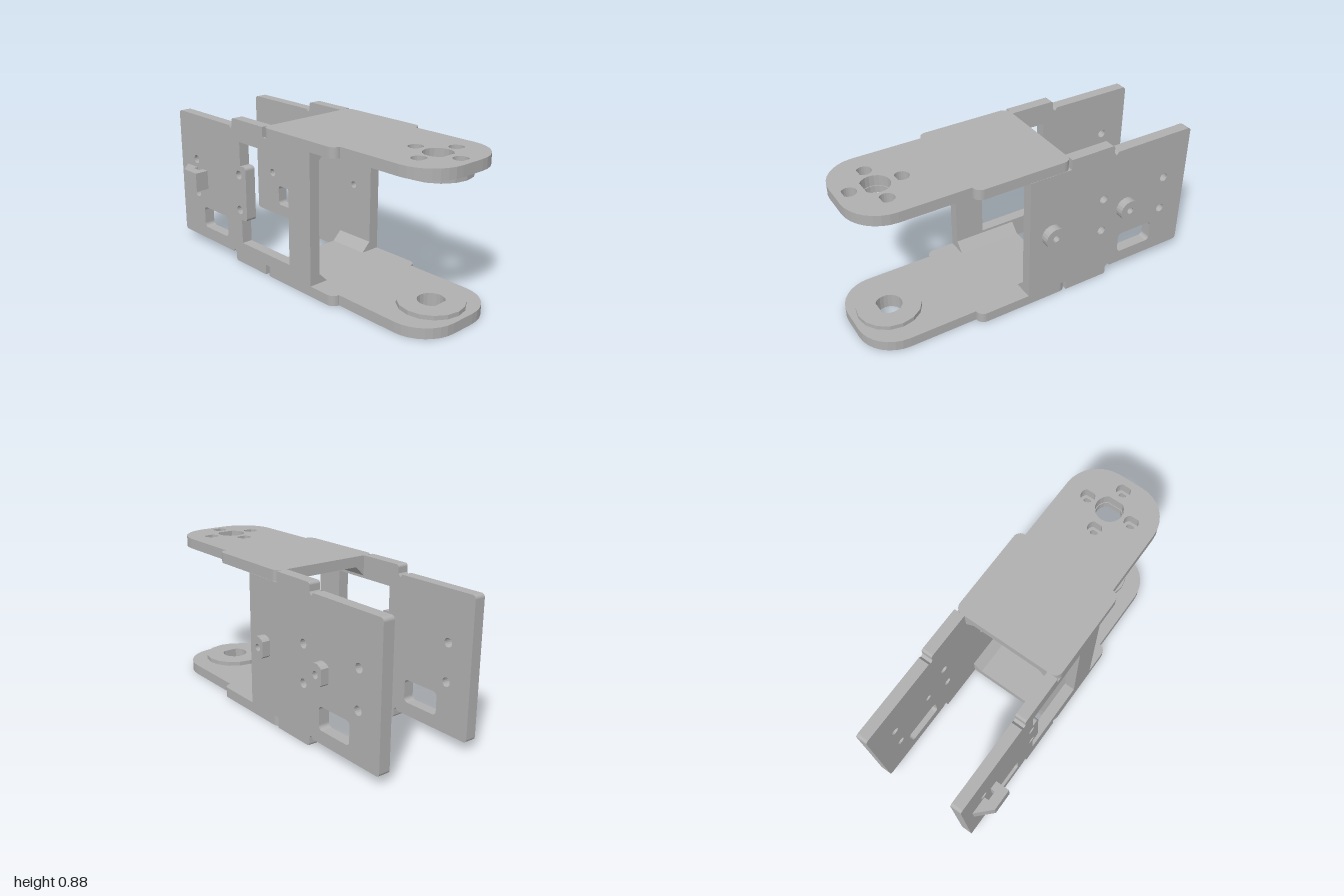
import * as THREE from 'three';

const grey = new THREE.MeshStandardMaterial({ color: 0xb0b0b0 });
grey.name = 'grey plastic';

// Closed outline from [x, y, cornerRadius] points
function outline(points, Type = THREE.Shape) {
  const path = new Type();
  const n = points.length;
  const toward = (a, b, d) => {
    const l = Math.hypot(b[0] - a[0], b[1] - a[1]);
    return [a[0] + (b[0] - a[0]) * d / l, a[1] + (b[1] - a[1]) * d / l];
  };
  points.forEach((p, i) => {
    const r = p[2] || 0;
    const prev = points[(i + n - 1) % n], next = points[(i + 1) % n];
    const a = toward(p, prev, r), b = toward(p, next, r);
    if (i === 0) path.moveTo(...a); else path.lineTo(...a);
    if (r) path.bezierCurveTo(...toward(p, prev, r * 0.448), ...toward(p, next, r * 0.448), ...b);
  });
  path.closePath();
  return path;
}

const rect = (x0, y0, x1, y1, r, Type) =>
  outline([[x0, y0, r], [x1, y0, r], [x1, y1, r], [x0, y1, r]], Type);

function circle(x, y, r, Type = THREE.Path) {
  return new Type().absarc(x, y, r, 0, Math.PI * 2, false);
}

// Round with a pointed tip in the given direction
function teardrop(x, y, r, dir, tip = 1.35, Type = THREE.Path) {
  const open = Math.acos(1 / tip);
  const path = new Type();
  path.moveTo(x + r * tip * Math.cos(dir), y + r * tip * Math.sin(dir));
  path.absarc(x, y, r, dir + open, dir - open + Math.PI * 2, false);
  path.closePath();
  return path;
}

function extrude(name, shape, depth, holes = []) {
  shape.holes.push(...holes);
  const geometry = new THREE.ExtrudeGeometry(shape, { depth, bevelEnabled: false, curveSegments: 8 });
  const mesh = new THREE.Mesh(geometry, grey);
  mesh.name = name;
  return mesh;
}

// Upright part: shape is (-z, y), extruded along +x from x0
function upright(name, shape, x0, x1, holes) {
  const m = extrude(name, shape, x1 - x0, holes);
  m.geometry.rotateY(Math.PI / 2).translate(x0, 0, 0);
  return m;
}

// Flat part: shape is (x, -z), extruded along +y from y0
function flat(name, shape, y0, y1, holes) {
  const m = extrude(name, shape, y1 - y0, holes);
  m.geometry.rotateX(-Math.PI / 2).translate(0, y0, 0);
  return m;
}

const CX = 0.015, HUB = -0.785, DOWN = -Math.PI / 2;
const screwSpots = [[CX, -0.64], [CX, -0.925], [CX - 0.142, HUB], [CX + 0.142, HUB]];

const armShape = () => outline([
  [-0.313, 0.18, 0.045], [-0.313, -0.39, 0.045], [-0.27, -0.39], [-0.27, -1, 0.21],
  [0.297, -1, 0.21], [0.297, -0.39], [0.343, -0.39, 0.045], [0.343, 0.18, 0.045],
].reverse());

// Side wall, stepped at the back; front is the -z value of its leading edge
const wallShape = (front) => outline([
  [front, 0.06], [0.18, 0.06], [0.18, 0], [0.46, 0, 0.015], [0.46, 0.05], [0.475, 0.065],
  [0.49, 0.05], [1, 0.05, 0.02], [1, 0.833, 0.02], [0.49, 0.833], [0.475, 0.815],
  [0.46, 0.833], [0.46, 0.88, 0.015], [0.18, 0.88], [0.18, 0.82], [front, 0.82],
]);

const wallHoles = () => [
  ...[0.41, 0.84].flatMap((u) => [0.335, 0.55].map((y) => circle(u, y, 0.026))),
  rect(0.54, 0.125, 0.78, 0.257, 0.025, THREE.Path),
];

export function createModel() {
  const model = new THREE.Group();
  model.name = 'servoBracket';

  // Upper arm with countersunk screw holes and its hub ring
  model.add(flat('upperArm', armShape(), 0.82, 0.88, [
    teardrop(CX, HUB, 0.08, DOWN, 1.22),
    ...screwSpots.map(([x, v]) => teardrop(x, v, 0.041, DOWN, 1.25)),
  ]));
  model.add(flat('upperHub', circle(CX, HUB, 0.183, THREE.Shape), 0.78, 0.82, [
    teardrop(CX, HUB, 0.075, DOWN, 1.22),
    ...screwSpots.map(([x, v]) => teardrop(x, v, 0.022, DOWN, 1.25)),
  ]));

  // Lower arm with its raised hub ring
  model.add(flat('lowerArm', armShape(), 0, 0.06, [
    teardrop(CX, HUB, 0.075, DOWN, 1.22),
    ...screwSpots.map(([x, v]) => teardrop(x, v, 0.024, DOWN, 1.25)),
  ]));
  model.add(flat('lowerHub', circle(CX, HUB, 0.183, THREE.Shape), 0.06, 0.085, [
    teardrop(CX, HUB, 0.075, DOWN, 1.22),
  ]));

  // Left wall, solid, with two pegs
  const pegs = [0.065, 0.57];
  model.add(upright('leftWall', wallShape(-0.075), 0.279, 0.345, [
    ...wallHoles(), ...pegs.map((u) => circle(u, 0.442, 0.021)),
  ]));
  pegs.forEach((u) => model.add(upright('peg', teardrop(u, 0.442, 0.063, 0, 1.35, THREE.Shape),
    0.345, 0.393, [circle(u, 0.442, 0.021)])));

  // Right wall with a large opening and a tongue reaching into it
  const opening = outline([
    [-0.034, 0.13], [0.395, 0.13], [0.395, 0.277], [0.345, 0.277, 0.02],
    [0.345, 0.607, 0.02], [0.395, 0.607], [0.395, 0.75], [-0.034, 0.75],
  ], THREE.Path);
  model.add(upright('rightWall', wallShape(-0.21), -0.313, -0.248, [...wallHoles(), opening]));

  // Cable clip on the right wall
  model.add(flat('cableClip', outline([
    [-0.313, 0.73], [-0.313, 0.78], [-0.34, 0.78], [-0.34, 0.835], [-0.313, 0.835],
    [-0.313, 0.94], [-0.397, 0.855], [-0.397, 0.73],
  ]), 0.385, 0.5));

  // Sloped fillets in the four inner corners
  for (const [x, s, front] of [[-0.248, 1, 0.21], [0.279, -1, 0.075]]) {
    for (const [y, t] of [[0.06, 1], [0.82, -1]]) {
      const m = extrude('cornerFillet', outline([[x, y], [x + 0.056 * s, y], [x, y + 0.055 * t]]), front + 0.18);
      m.geometry.translate(0, 0, -0.18);
      model.add(m);
    }
  }
  return model;
}
